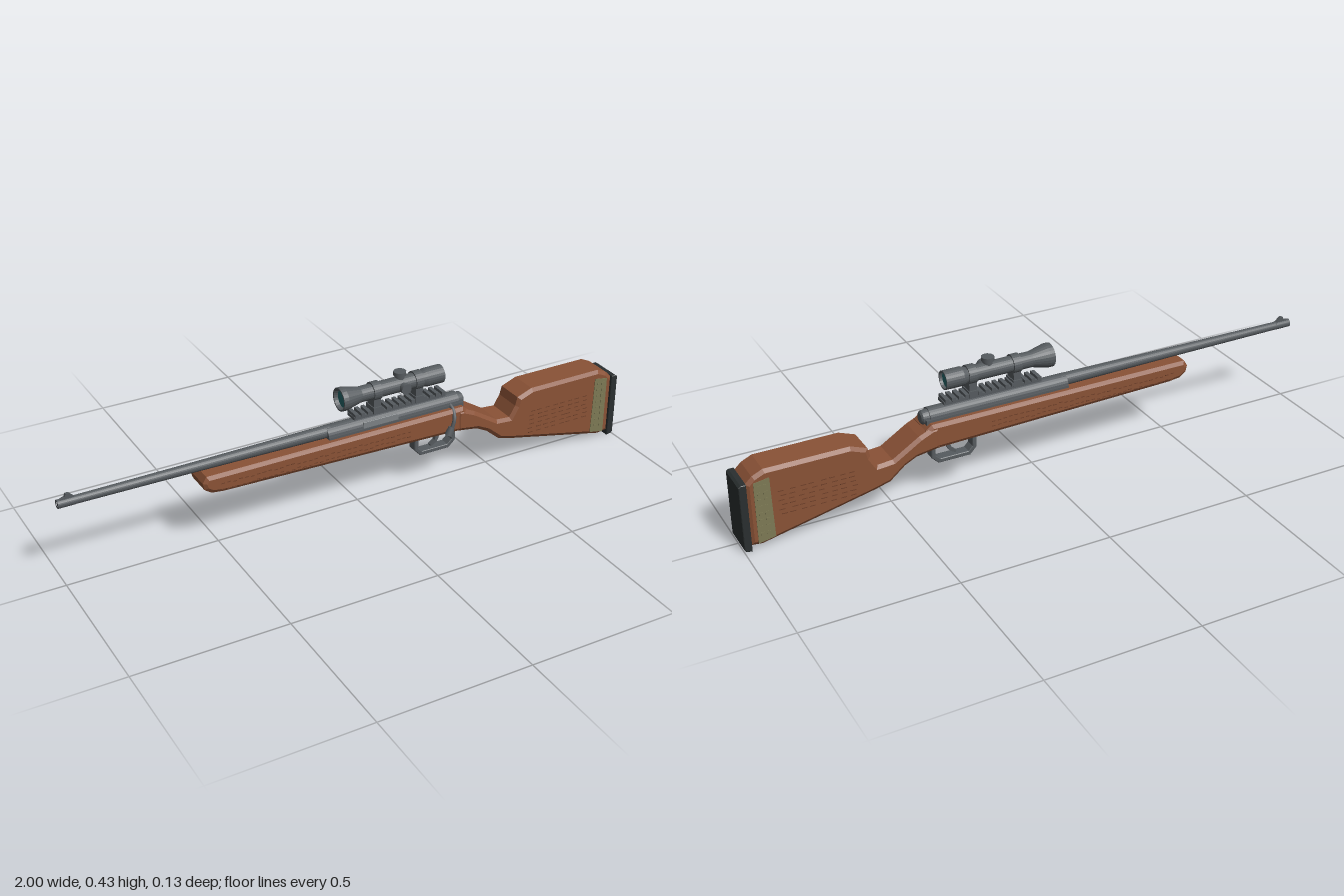
import * as THREE from 'three';

const mat = (color) => new THREE.MeshStandardMaterial({ color });
const wood = mat(0x8a5236), carving = mat(0x70412a), metal = mat(0x565b5f), light = mat(0x7c8184),
  rubber = mat(0x2a2f30), cloth = mat(0x7d7a55), glass = mat(0x24666a);

export function createModel() {
  const model = new THREE.Group();
  model.position.z = -0.006;

  const add = (name, geometry, material, x = 0, y = 0, z = 0) => {
    const mesh = new THREE.Mesh(geometry, material);
    mesh.name = name;
    mesh.position.set(x, y, z);
    model.add(mesh);
    return mesh;
  };
  const box = (name, material, x0, x1, y0, y1, z0, z1) =>
    add(name, new THREE.BoxGeometry(x1 - x0, y1 - y0, z1 - z0), material, (x0 + x1) / 2, (y0 + y1) / 2, (z0 + z1) / 2);
  // Side outline extruded across z, with chamfered edges
  const slab = (name, material, points, depth, bevel = 0, bevelDepth = bevel, holes = []) => {
    const shape = new THREE.Shape(points.map(([x, y]) => new THREE.Vector2(x, y)));
    holes.forEach((h) => shape.holes.push(new THREE.Path(h.map(([x, y]) => new THREE.Vector2(x, y)))));
    const geometry = new THREE.ExtrudeGeometry(shape, {
      depth: depth - 2 * bevelDepth, bevelEnabled: bevel > 0, bevelSize: bevel,
      bevelThickness: bevelDepth, bevelOffset: -bevel, bevelSegments: 1,
    });
    geometry.translate(0, 0, -(depth - 2 * bevelDepth) / 2);
    return add(name, geometry, material);
  };
  // Round part along x from pairs of (x, radius); a repeated x makes a step
  const turned = (name, material, y, profile) => {
    const geometry = new THREE.LatheGeometry(profile.map(([x, r]) => new THREE.Vector2(r, -x)).reverse(), 24);
    geometry.rotateZ(Math.PI / 2);
    const flat = geometry.toNonIndexed();
    flat.computeVertexNormals();
    return add(name, flat, material, 0, y, 0);
  };

  // Stock: fore-end, then wrist and butt
  slab('foreStock', wood, [
    [-0.545, 0.266], [-0.558, 0.245], [-0.553, 0.222], [-0.53, 0.206], [-0.49, 0.201],
    [0.36, 0.18], [0.4, 0.19], [0.395, 0.25], [0.375, 0.266],
  ], 0.106, 0.012, 0.008);
  slab('buttStock', wood, [
    [0.35, 0.182], [0.43, 0.17], [0.47, 0.15], [0.52, 0.108], [0.57, 0.094], [0.94, 0.013], [0.978, 0.017],
    [0.978, 0.228], [0.955, 0.25], [0.92, 0.266], [0.645, 0.266], [0.59, 0.245], [0.582, 0.215],
    [0.56, 0.178], [0.51, 0.182], [0.42, 0.238], [0.375, 0.258], [0.35, 0.258],
  ], 0.112, 0.012, 0.009);
  slab('buttPad', rubber, [[0.976, 0], [0.995, 0.003], [1, 0.01], [1, 0.226], [0.992, 0.232], [0.976, 0.232]], 0.116, 0.002);

  // Shallow carved dashes, cartridge band and loops on both sides
  let seed = 7;
  const random = () => (seed = (seed * 16807) % 2147483647) / 2147483647;
  for (const side of [-1, 1]) {
    for (let i = 0; i < 34; i++) {
      const x = -0.5 + i * 0.02;
      for (const row of [0, 1]) {
        const y = 0.232 - 0.018 * row - 0.006 * random();
        box('foreCarving', carving, x, x + 0.012, y, y + 0.003, side * 0.0525 - 0.001, side * 0.0525 + 0.001);
      }
    }
    for (let row = 0; row < 6; row++) {
      for (let i = 0; i < 8; i++) {
        const x = 0.63 + i * 0.032 + 0.012 * random(), y = 0.1 + row * 0.016;
        box('buttCarving', carving, x, x + 0.018, y, y + 0.003, side * 0.0555 - 0.001, side * 0.0555 + 0.001);
      }
    }
    const band = slab('band', cloth, [[0.9, 0.032], [0.955, 0.022], [0.955, 0.23], [0.905, 0.238]], 0.004);
    band.position.z = side * 0.0558;
    for (let i = 0; i < 8; i++) {
      const y = 0.048 + i * 0.023;
      for (const x of [0.914, 0.934]) {
        box('bandLoop', cloth, x, x + 0.012, y, y + 0.01, side * 0.0578 - 0.0015, side * 0.0578 + 0.0015);
      }
    }
  }

  // Barrel and front sight
  turned('barrel', metal, 0.283, [
    [-0.94, 0], [-1, 0.007], [-1, 0.014], [-0.945, 0.014], [-0.945, 0.0135], [-0.56, 0.016], [-0.1, 0.021], [-0.1, 0],
  ].slice(1, -1));
  turned('bore', rubber, 0.283, [[-0.998, 0], [-0.998, 0.0075]]).material = rubber;
  slab('frontSight', metal, [[-0.995, 0.295], [-0.945, 0.295], [-0.952, 0.302], [-0.962, 0.312], [-0.972, 0.312], [-0.976, 0.302]], 0.01);

  // Receiver, bolt and ejection port
  turned('receiver', metal, 0.274, [[-0.115, 0], [-0.115, 0.029], [0.37, 0.029], [0.37, 0.025], [0.39, 0.022], [0.395, 0.016], [0.395, 0]]);
  box('receiverBase', metal, -0.115, 0.385, 0.25, 0.274, -0.032, 0.032);
  slab('ejectionPort', light, [[0.01, 0.271], [0.14, 0.271], [0.14, 0.289], [0.13, 0.295], [0.01, 0.295]], 0.006, 0.001).position.z = 0.026;
  const handlePath = new THREE.CatmullRomCurve3([
    new THREE.Vector3(0.335, 0.277, 0.02), new THREE.Vector3(0.338, 0.262, 0.042),
    new THREE.Vector3(0.333, 0.235, 0.06), new THREE.Vector3(0.32, 0.2, 0.063),
  ]);
  add('boltHandle', new THREE.TubeGeometry(handlePath, 12, 0.0065, 8), metal);
  const knob = add('boltKnob', new THREE.CylinderGeometry(0.01, 0.014, 0.03, 12), metal, 0.318, 0.197, 0.06);
  knob.rotation.z = -0.35;

  // Floor plate, trigger guard and trigger
  box('floorPlate', metal, 0.01, 0.19, 0.178, 0.195, -0.026, 0.026);
  slab('triggerGuard', metal, [
    [0.21, 0.186], [0.21, 0.13], [0.232, 0.107], [0.342, 0.107], [0.366, 0.13], [0.366, 0.186],
  ], 0.036, 0.002, 0.002, [[[0.224, 0.176], [0.352, 0.176], [0.352, 0.136], [0.336, 0.121], [0.238, 0.121], [0.224, 0.136]]]);
  slab('trigger', metal, [
    [0.29, 0.182], [0.312, 0.182], [0.31, 0.155], [0.3, 0.135], [0.279, 0.123], [0.276, 0.13], [0.292, 0.143], [0.297, 0.16],
  ], 0.014);

  // Toothed scope rail
  box('railFoot', metal, 0, 0.3, 0.298, 0.312, -0.008, 0.008);
  box('rail', metal, -0.02, 0.32, 0.308, 0.318, -0.022, 0.022);
  for (let i = 0; i < 15; i++) {
    const x = -0.018 + i * 0.023;
    box('railTooth', metal, x, x + 0.013, 0.316, 0.328, -0.025, 0.025);
  }

  // Scope on two clamped rings
  const scopeY = 0.384;
  turned('scopeBody', metal, scopeY, [
    [-0.05, 0.03], [-0.063, 0.034], [-0.063, 0.039], [-0.045, 0.039], [0.01, 0.026], [0.235, 0.026],
    [0.25, 0.031], [0.312, 0.031], [0.312, 0.027], [0.302, 0.026],
  ]);
  turned('frontLens', glass, scopeY, [[-0.054, 0], [-0.05, 0.032]]);
  turned('rearLens', glass, scopeY, [[0.302, 0.027], [0.306, 0]]);
  for (const x of [0.065, 0.22]) {
    turned('scopeRing', metal, scopeY, [[x - 0.014, 0.025], [x - 0.014, 0.031], [x + 0.014, 0.031], [x + 0.014, 0.025]]);
    box('ringStem', metal, x - 0.013, x + 0.013, 0.325, 0.365, -0.021, 0.021);
    box('ringClamp', metal, x - 0.016, x + 0.016, 0.313, 0.335, -0.026, 0.026);
  }
  // Adjustment turrets on top and on the left of the bore line
  add('topTurretBase', new THREE.CylinderGeometry(0.016, 0.016, 0.03, 16), metal, 0.158, 0.405, 0);
  add('topTurret', new THREE.CylinderGeometry(0.021, 0.021, 0.013, 16), metal, 0.158, 0.4235, 0);
  add('sideTurretBase', new THREE.CylinderGeometry(0.014, 0.014, 0.03, 16), metal, 0.158, scopeY, 0.022).rotation.x = Math.PI / 2;
  add('sideTurret', new THREE.CylinderGeometry(0.018, 0.018, 0.013, 16), metal, 0.158, scopeY, 0.0395).rotation.x = Math.PI / 2;

  return model;
}
